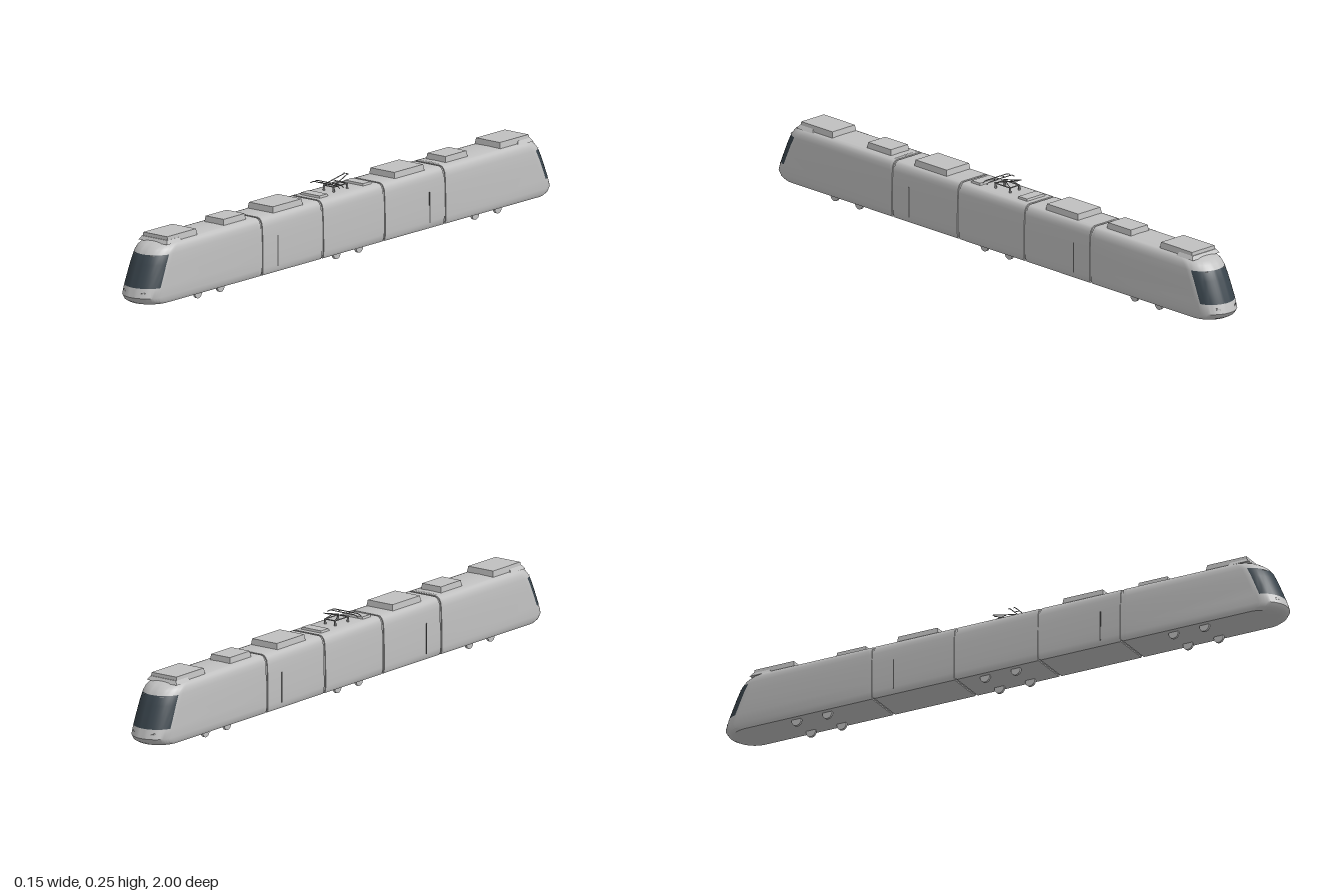
import * as THREE from 'three';
import { toCreasedNormals } from 'three/addons/utils/BufferGeometryUtils.js';

const mat = (name, color) => {
  const m = new THREE.MeshStandardMaterial({ color });
  m.name = name;
  return m;
};

// Body levels from floor to roof: height, half width, z of the nose tip
const LEVELS = [
  [0.022, 0.068, 0.975], [0.03, 0.072, 0.99], [0.045, 0.073, 1.0], [0.075, 0.073, 0.99],
  [0.11, 0.0725, 0.975], [0.145, 0.0715, 0.96], [0.175, 0.07, 0.945], [0.19, 0.068, 0.932],
  [0.2, 0.063, 0.917], [0.206, 0.057, 0.9], [0.208, 0.05, 0.89],
];
const NOSE_DEPTH = 0.07;
const JOINTS = [0.445, 0.15];
const GAP = 0.004;

// Straight car body: the cross-section run from z0 to z1
function straightBody(z0, z1, scale = 1) {
  const right = LEVELS.map(([y, w]) => new THREE.Vector2(w * scale, 0.115 + (y - 0.115) * scale));
  const left = right.map((p) => new THREE.Vector2(-p.x, p.y)).reverse();
  const g = new THREE.ExtrudeGeometry(new THREE.Shape([...right, ...left]), { depth: z1 - z0, bevelEnabled: false });
  g.translate(0, 0, z0);
  return toCreasedNormals(g, 0.6);
}

// End car: U-shaped outlines stacked in height, with the windscreen as a second group
function endBody(zBack) {
  const N = 24, cols = N + 3;
  const first = LEVELS[0], last = LEVELS[LEVELS.length - 1];
  const rows = [[first[0], 0, first[2]], ...LEVELS, [last[0] + 0.001, 0, last[2]]];
  const pos = [], paint = [], glass = [];
  for (const [y, w, tip] of rows) {
    pos.push(w, y, zBack);
    for (let i = 0; i <= N; i++) {
      const a = (Math.PI * i) / N;
      pos.push(w * Math.cos(a), y, tip - NOSE_DEPTH * (1 - Math.sin(a)));
    }
    pos.push(-w, y, zBack);
  }
  for (let r = 0; r < rows.length - 1; r++) {
    for (let c = 0; c < cols - 1; c++) {
      const a = r * cols + c, b = a + 1, d = a + cols, e = d + 1;
      const isGlass = r >= 4 && r < 7 && c >= 3 && c < N - 1;
      (isGlass ? glass : paint).push(a, d, b, b, d, e);
    }
  }
  const g = new THREE.BufferGeometry();
  g.setAttribute('position', new THREE.Float32BufferAttribute(pos, 3));
  g.setIndex([...paint, ...glass]);
  g.addGroup(0, paint.length, 0);
  g.addGroup(paint.length, glass.length, 1);
  return toCreasedNormals(g, 0.6);
}

// Box with its top drawn in
function taperedBox(w, h, d, inset) {
  const g = new THREE.BoxGeometry(w, h, d);
  const p = g.attributes.position;
  for (let i = 0; i < p.count; i++) {
    if (p.getY(i) > 0) {
      p.setX(i, p.getX(i) - Math.sign(p.getX(i)) * inset);
      p.setZ(i, p.getZ(i) - Math.sign(p.getZ(i)) * inset);
    }
  }
  g.computeVertexNormals();
  return g;
}

export function createModel() {
  const tram = new THREE.Group();
  tram.name = 'tram';
  const paint = mat('light grey paint', 0xc0c0c0);
  const glass = mat('dark glass', 0x39444c);
  const metal = mat('grey metal', 0x8a8a8a);
  const seam = mat('dark seam', 0x5a5a5a);

  const add = (parent, name, geometry, material, x = 0, y = 0, z = 0) => {
    const m = new THREE.Mesh(geometry, material);
    m.name = name;
    m.position.set(x, y, z);
    parent.add(m);
    return m;
  };
  const rod = (parent, name, points, r = 0.0013) => {
    const path = new THREE.CurvePath();
    const v = points.map((p) => new THREE.Vector3(...p));
    for (let i = 1; i < v.length; i++) path.add(new THREE.LineCurve3(v[i - 1], v[i]));
    return add(parent, name, new THREE.TubeGeometry(path, (v.length - 1) * 4, r, 6), metal);
  };

  // Centre car
  add(tram, 'centreCar', straightBody(-JOINTS[1] + GAP, JOINTS[1] - GAP), paint);

  // Each half of the tram is the other turned half round
  for (const turn of [0, Math.PI]) {
    const half = new THREE.Group();
    half.name = turn ? 'rearHalf' : 'frontHalf';
    half.rotation.y = turn;
    tram.add(half);

    add(half, 'endCar', endBody(0.46), [paint, glass]);
    add(half, 'endCarWall', straightBody(JOINTS[0] + GAP, 0.46), paint);
    add(half, 'middleCar', straightBody(JOINTS[1] + GAP, JOINTS[0] - GAP), paint);
    for (const z of JOINTS) add(half, 'bellows', straightBody(z - 0.01, z + 0.01, 0.96), paint, 0, 0, 0);

    // Roof equipment: z centre, length, width
    for (const [z, length, width] of [[0.81, 0.146, 0.104], [0.54, 0.108, 0.08], [0.296, 0.146, 0.104]])
      add(half, 'roofUnit', taperedBox(width, 0.02, length, 0.003), paint, 0, 0.217, z);
    add(half, 'roofFairing', taperedBox(0.118, 0.012, 0.075, 0.008), paint, 0, 0.21, 0.855);
    add(half, 'smallRoofUnit', taperedBox(0.08, 0.008, 0.042, 0.002), paint, 0, 0.211, 0.106);

    // Thin upright door seams
    for (const x of [-1, 1])
      add(half, 'doorSeam', new THREE.BoxGeometry(0.001, 0.1, 0.004), seam, x * 0.073, 0.09, 0.37);

    // Wheels
    for (const z of [0.73, 0.62, 0.055])
      for (const x of [-0.047, 0.047]) {
        const wheel = add(half, 'wheel', new THREE.CylinderGeometry(0.017, 0.017, 0.008, 20), paint, x, 0.017, z);
        wheel.rotation.z = Math.PI / 2;
      }

    // Headlamp rims and windscreen wipers
    for (const s of [-1, 1]) {
      for (const [x, y] of [[0.034, 0.058], [0.041, 0.061]]) {
        const z = 0.995 - NOSE_DEPTH * (1 - Math.sqrt(1 - (x / 0.073) ** 2));
        const lamp = add(half, 'headlampRim', new THREE.TorusGeometry(0.003, 0.0006, 6, 12), metal, s * x, y, z);
        lamp.rotation.y = s * 0.5;
      }
      const wiper = add(half, 'wiper', new THREE.BoxGeometry(0.014, 0.0012, 0.002), paint, s * 0.036, 0.172, 0.9375);
      wiper.rotation.y = s * 0.5;
    }
  }

  // Pantograph on the centre car
  const pantograph = new THREE.Group();
  pantograph.name = 'pantograph';
  tram.add(pantograph);
  for (const s of [-1, 1]) {
    for (const z of [-0.03, 0.035])
      add(pantograph, 'insulator', new THREE.CylinderGeometry(0.003, 0.004, 0.017, 8), metal, s * 0.02, 0.2155, z);
    rod(pantograph, 'baseRail', [[s * 0.02, 0.224, -0.033], [s * 0.02, 0.224, 0.04]], 0.002);
    rod(pantograph, 'arm', [[s * 0.02, 0.225, 0.04], [s * 0.006, 0.249, -0.05]], 0.0015);
    rod(pantograph, 'brace', [[s * 0.02, 0.225, -0.03], [s * 0.01, 0.236, 0.0]]);
  }
  for (const z of [-0.03, 0.035])
    rod(pantograph, 'crossRail', [[-0.022, 0.224, z], [0.022, 0.224, z]], 0.002);
  rod(pantograph, 'armTip', [[-0.01, 0.249, -0.05], [0.01, 0.249, -0.05]]);
  for (const z of [0.034, 0.052])
    rod(pantograph, 'contactBar', [[-0.061, 0.228, z], [-0.05, 0.235, z], [0.05, 0.235, z], [0.061, 0.228, z]], 0.0015);
  for (const s of [-1, 1])
    rod(pantograph, 'contactBarLink', [[s * 0.02, 0.235, 0.034], [s * 0.02, 0.235, 0.052]]);

  return tram;
}
